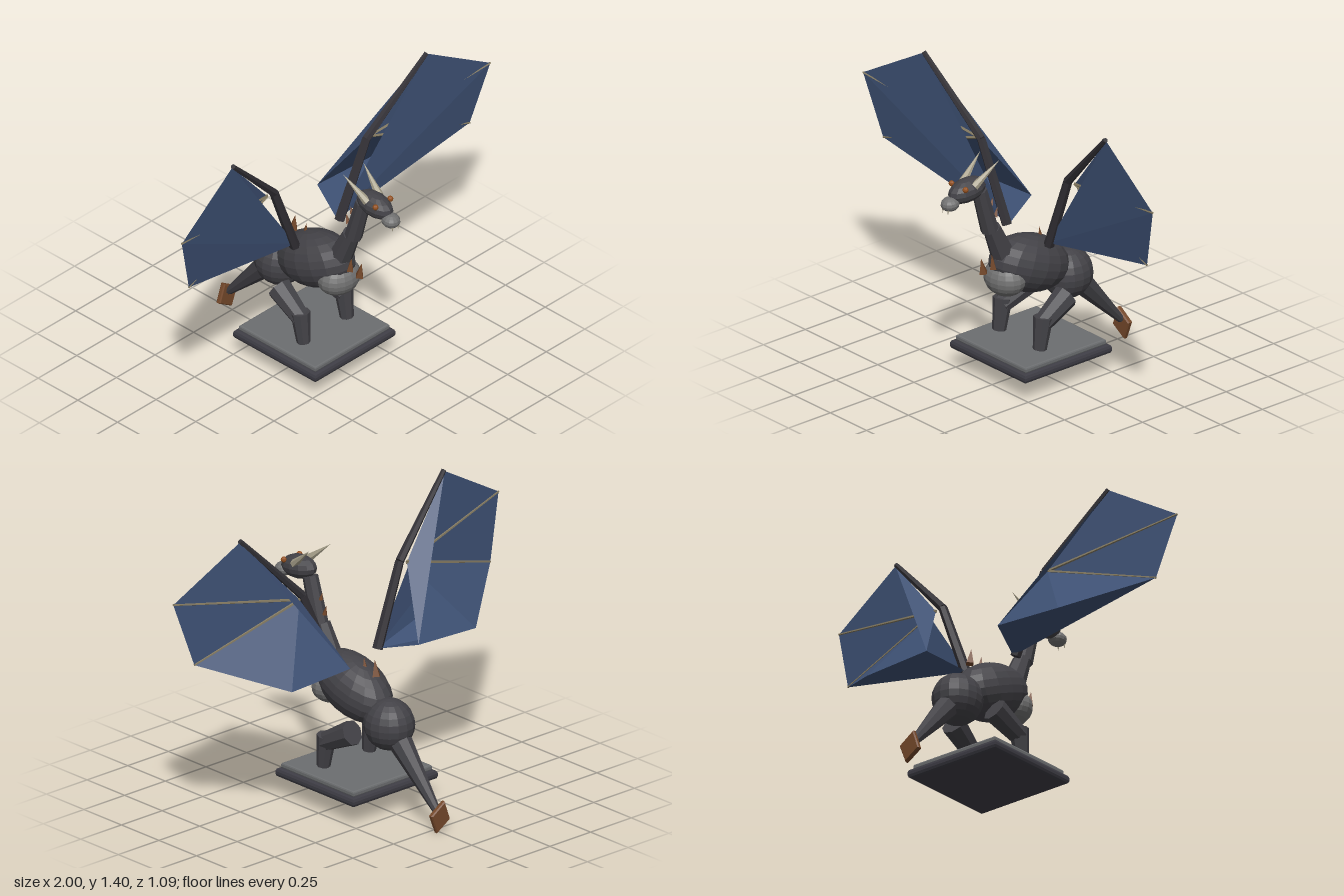
import * as THREE from 'three';

const mat = (name, color, side = THREE.FrontSide) => {
  const m = new THREE.MeshStandardMaterial({ color, flatShading: true, side });
  m.name = name;
  return m;
};
const V = (x, y, z) => new THREE.Vector3(x, y, z);
const UP = V(0, 1, 0);

export function createModel() {
  const root = new THREE.Group();
  root.name = 'wingedDragon';
  const hide = mat('dark hide', 0x434247);
  const bone = mat('wing bone', 0x333136);
  const belly = mat('pale hide', 0x717171);
  const membrane = mat('blue membrane', 0x3d5073, THREE.DoubleSide);
  const horn = mat('horn', 0xaaa38d);
  const rib = mat('wing finger', 0x857b62);
  const rust = mat('rust spikes', 0x74482a);
  const eyeMat = mat('amber eye', 0x93501f);
  const rim = mat('plinth rim', 0x3d3c44);
  const stone = mat('plinth stone', 0x6c6e70);

  const add = (name, geo, material, parent = root) => {
    const m = new THREE.Mesh(geo, material);
    m.name = name;
    parent.add(m);
    return m;
  };
  // Tapered limb running from a to b
  const limb = (name, a, b, ra, rb, material, sides = 8, parent = root) => {
    const d = b.clone().sub(a);
    const m = add(name, new THREE.CylinderGeometry(rb, ra, d.length(), sides), material, parent);
    m.position.copy(a).addScaledVector(d, 0.5);
    m.quaternion.setFromUnitVectors(UP, d.normalize());
    return m;
  };
  // Ellipsoid, tilted about x
  const ball = (name, p, r, material, tilt = 0, w = 16, h = 12, parent = root) => {
    const m = add(name, new THREE.SphereGeometry(1, w, h), material, parent);
    m.position.copy(p);
    m.scale.copy(r);
    m.rotation.x = tilt;
    return m;
  };

  // Plinth: two bevelled slabs
  const slab = (name, half, y0, y1, bevel, material) => {
    const k = half - bevel;
    const s = new THREE.Shape([[-k, -k], [k, -k], [k, k], [-k, k]].map(([x, y]) => new THREE.Vector2(x, y)));
    const g = new THREE.ExtrudeGeometry(s, {
      depth: y1 - y0 - 2 * bevel, bevelThickness: bevel, bevelSize: bevel, bevelSegments: 2,
    });
    g.rotateX(-Math.PI / 2);
    add(name, g, material).position.set(0, y0 + bevel, 0.017);
  };
  slab('plinthRim', 0.26, 0.1, 0.145, 0.016, rim);
  slab('plinthTop', 0.241, 0.142, 0.17, 0.008, stone);

  // Torso
  ball('body', V(0, 0.547, 0.03), V(0.132, 0.137, 0.225), hide, -0.36);
  ball('chest', V(0, 0.515, 0.173), V(0.11, 0.085, 0.088), belly);
  ball('haunch', V(0, 0.43, -0.2), V(0.115, 0.122, 0.122), hide);

  // Neck and head
  limb('neckLower', V(0, 0.6, 0.17), V(0, 0.785, 0.252), 0.06, 0.042, hide);
  limb('neckUpper', V(0, 0.78, 0.264), V(0, 0.995, 0.326), 0.042, 0.036, hide);
  ball('head', V(0, 1.02, 0.4), V(0.06, 0.056, 0.102), hide, 0.12, 12, 8);
  ball('snout', V(0, 0.98, 0.5), V(0.043, 0.033, 0.045), belly, 0.1, 12, 8);

  // Tail and its blade
  limb('tail', V(0, 0.39, -0.25), V(0, 0.097, -0.52), 0.06, 0.018, hide);
  const blade = new THREE.Shape([[-0.06, 0.053], [0.02, 0.003], [0.055, 0.093], [-0.027, 0.147]]
    .map(([x, y]) => new THREE.Vector2(x, y)));
  add('tailBlade', new THREE.ExtrudeGeometry(blade, {
    depth: 0.014, bevelThickness: 0.006, bevelSize: 0.005, bevelOffset: -0.005, bevelSegments: 1,
  }), rust).position.z = -0.539;

  // Four-sided spikes on chest, neck and back: base y, z, tip y, z, radius
  [
    [0.575, 0.302, 0.652, 0.316, 0.023],
    [0.58, 0.242, 0.65, 0.252, 0.02],
    [0.835, 0.23, 0.88, 0.218, 0.014],
    [0.9, 0.255, 0.935, 0.246, 0.012],
    [0.645, -0.04, 0.705, -0.032, 0.015],
    [0.637, -0.114, 0.715, -0.103, 0.023],
  ].forEach(([y0, z0, y1, z1, r]) => limb('spike', V(0, y0, z0), V(0, y1, z1), r, 0, rust, 4));

  for (const s of [1, -1]) {
    const P = (x, y, z) => V(s * x, y, z);
    const side = s > 0 ? 'left' : 'right';

    // Face details
    ball(side + 'Eye', P(0.048, 1.05, 0.45), V(0.014, 0.014, 0.014), eyeMat, 0, 8, 6);
    limb(side + 'Horn', P(0.038, 1.045, 0.39), P(0.066, 1.15, 0.262), 0.021, 0, horn, 6);
    limb(side + 'Fang', P(0.018, 0.965, 0.527), P(0.018, 0.937, 0.529), 0.006, 0, horn, 5);

    // Leg
    const leg = new THREE.Group();
    leg.name = side + 'Leg';
    root.add(leg);
    limb('thigh', P(0.12, 0.385, -0.085), P(0.14, 0.3, 0.075), 0.06, 0.044, hide, 8, leg);
    limb('shin', P(0.14, 0.335, 0.065), P(0.14, 0.18, 0.086), 0.046, 0.032, hide, 8, leg);

    // Wing
    const wing = new THREE.Group();
    wing.name = side + 'Wing';
    root.add(wing);
    const S = P(0.135, 0.69, 0.03), E = P(0.33, 1.055, 0.04), T = P(0.63, 1.395, 0.113);
    const A = P(1, 1.18, 0.155), B = P(0.91, 0.875, 0.112);
    const C = P(0.565, 0.73, -0.165), D = P(0.21, 0.747, -0.168);
    const elbow = P(0.3, 1.065, 0.055);
    limb('upperWingBone', P(0.145, 0.685, 0.035), elbow, 0.025, 0.021, bone, 6, wing);
    limb('outerWingBone', elbow, P(0.627, 1.4, 0.115), 0.021, 0.012, bone, 6, wing);
    for (const tip of [A, B]) limb('wingFinger', E, tip, 0.008, 0.005, rib, 5, wing);

    // Front skin fans from the shoulder, back skin from the elbow
    const tris = [
      S, A, T, S, B, A, S, C, B, S, D, C,
      E, T, A, E, A, B, E, B, C, E, C, D, E, D, T,
    ];
    const g = new THREE.BufferGeometry().setFromPoints(tris);
    g.computeVertexNormals();
    add('wingMembrane', g, membrane, wing);
  }
  return root;
}
